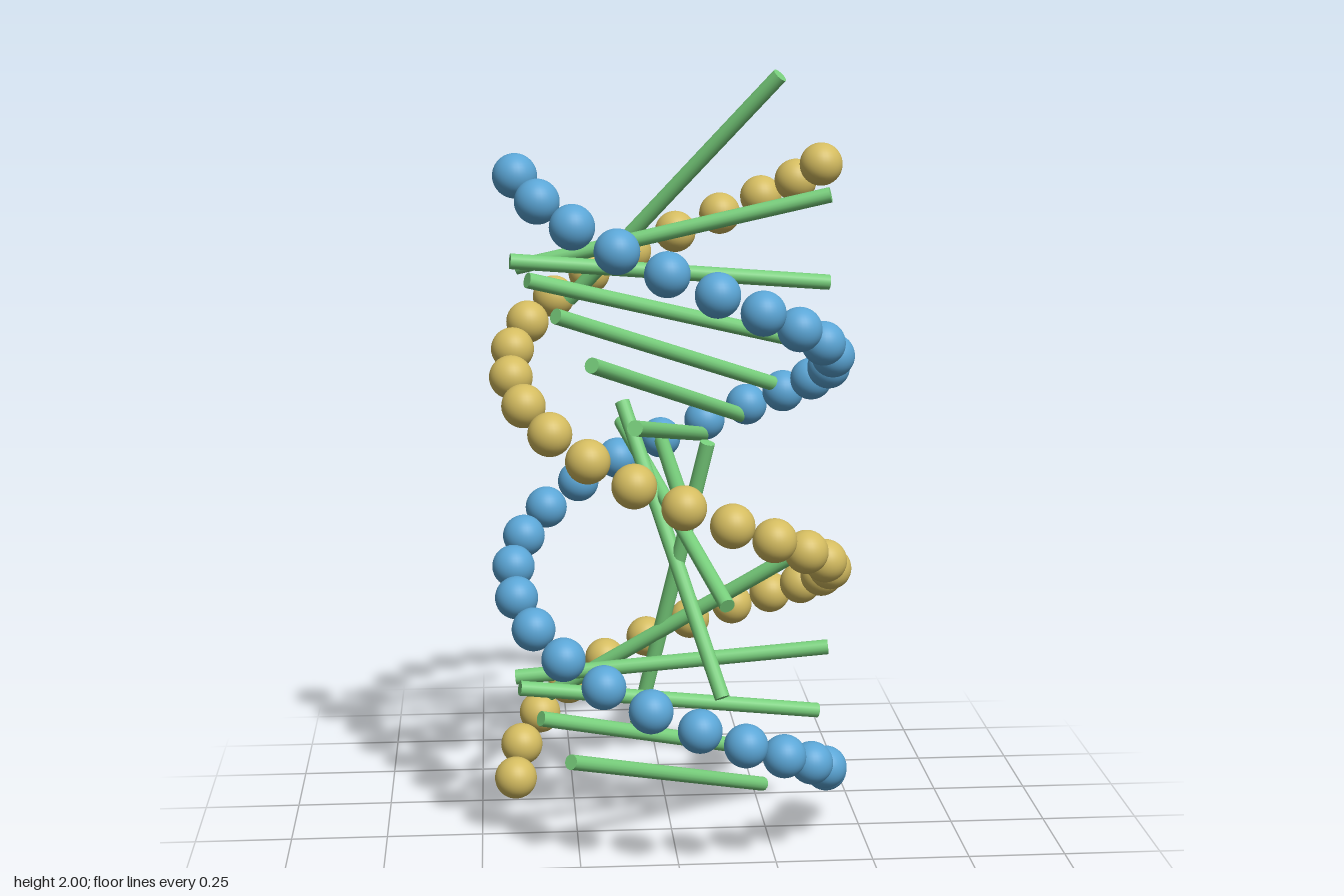
import * as THREE from 'three';

const COUNT = 32;          // beads per strand
const RADIUS = 0.41;       // strand radius
const STEP = 0.0513;       // rise per bead
const BASE = 0.157;        // height of the lowest beads
const TWIST = (3 * Math.PI) / COUNT;

function flat(name, color) {
  const m = new THREE.MeshStandardMaterial({ color });
  m.name = name;
  return m;
}

export function createModel() {
  const model = new THREE.Group();
  model.name = 'doubleHelix';

  const blue = flat('blue', 0x5ba6d6);
  const gold = flat('gold', 0xd4bc60);
  const green = flat('green', 0x78cf7c);

  const beadGeometry = new THREE.SphereGeometry(0.055, 32, 20);
  const rodGeometry = new THREE.CylinderGeometry(0.0195, 0.0195, 2 * RADIUS, 16);

  // Two beaded strands, half a turn apart
  function strand(name, material, phase) {
    const group = new THREE.Group();
    group.name = name;
    for (let i = 0; i < COUNT; i++) {
      const a = i * TWIST + phase;
      const bead = new THREE.Mesh(beadGeometry, material);
      bead.name = 'bead';
      bead.position.set(RADIUS * Math.cos(a), BASE + i * STEP, RADIUS * Math.sin(a));
      group.add(bead);
    }
    model.add(group);
  }
  strand('blueStrand', blue, 0);
  strand('goldStrand', gold, Math.PI);

  // Tumbling rods centred on the axis, one for every second bead:
  // each is an upright rod given a half turn about a tilting axis
  const rods = new THREE.Group();
  rods.name = 'rods';
  for (let i = 0; i < COUNT; i += 2) {
    const c = Math.cos(i * TWIST);
    const s = Math.sin(i * TWIST);
    const rod = new THREE.Mesh(rodGeometry, green);
    rod.name = 'rod';
    rod.position.y = BASE + i * STEP;
    rod.quaternion.set((1 + c + s) / 2, 1, -(1 + c - s) / 2, 0).normalize();
    rods.add(rod);
  }
  model.add(rods);

  return model;
}
